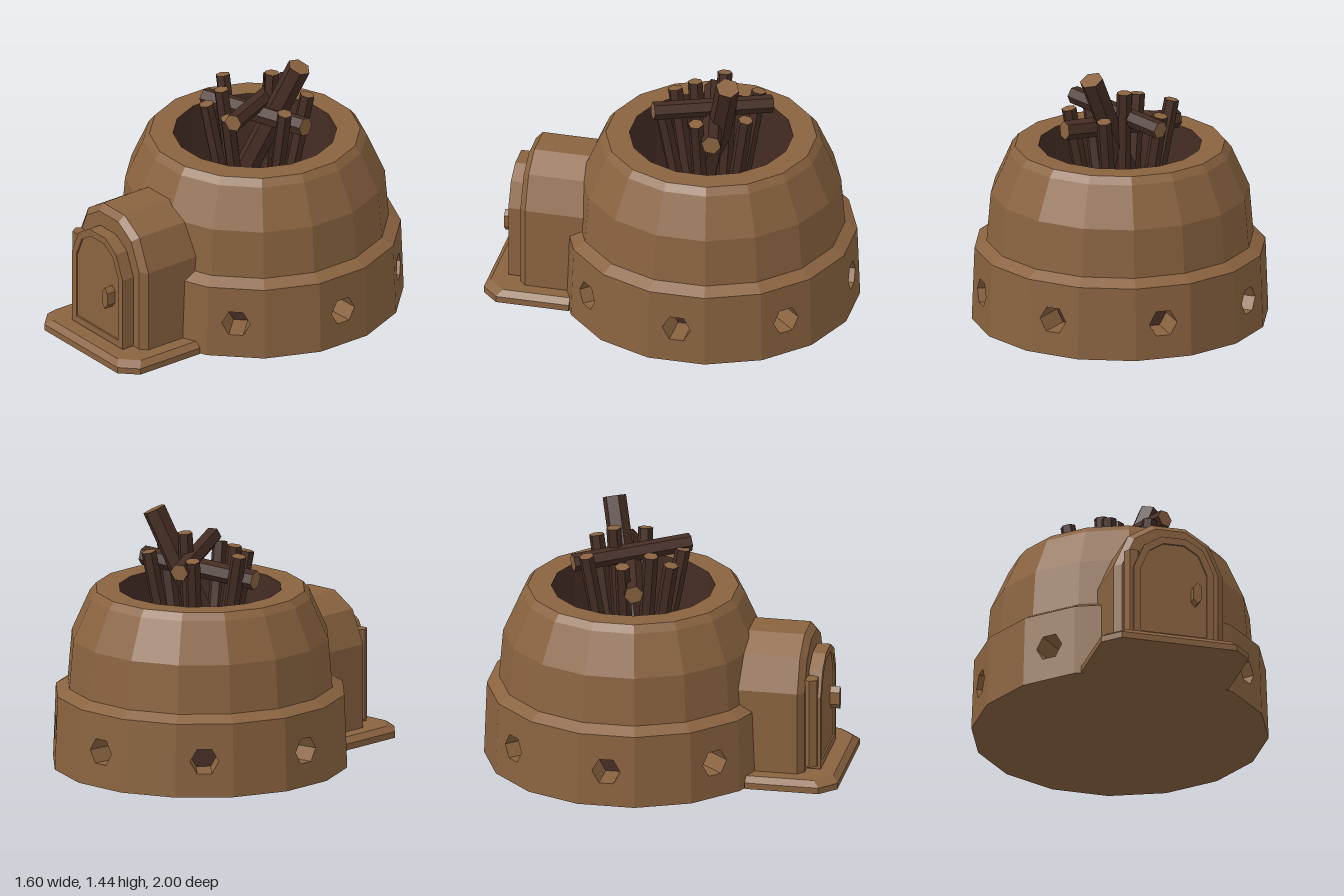
import * as THREE from 'three';

const SIDES = 16;
const CENTRE_Z = -0.2; // axis of the round oven body

export function createModel() {
  const clay = new THREE.MeshStandardMaterial({ color: 0x8a6340 });
  clay.name = 'clay';
  const charred = new THREE.MeshStandardMaterial({ color: 0x452d24 });
  charred.name = 'charred wood';

  const model = new THREE.Group();
  model.name = 'clayOven';

  const flat = (geometry) => {
    const g = geometry.index ? geometry.toNonIndexed() : geometry;
    g.computeVertexNormals();
    return g;
  };
  const add = (name, geometry, material, parent = model) => {
    const mesh = new THREE.Mesh(flat(geometry), material);
    mesh.name = name;
    parent.add(mesh);
    return mesh;
  };
  // Faceted turning; radii are measured to the middle of each flat side
  const turned = (profile) => new THREE.LatheGeometry(
    profile.map(([r, y]) => new THREE.Vector2(r / Math.cos(Math.PI / SIDES), y)),
    SIDES, Math.PI / SIDES);
  // Skin over convex outlines ([x, y] counter-clockwise) stacked along z, closed at both ends
  const loft = (rings) => {
    const n = rings[0].outline.length, pos = [], index = [];
    rings.forEach(({ outline, z }) => outline.forEach(([x, y]) => pos.push(x, y, z)));
    for (let r = 0; r < rings.length - 1; r++) {
      for (let i = 0; i < n; i++) {
        const a = r * n + i, b = r * n + (i + 1) % n;
        index.push(a, b, b + n, a, b + n, a + n);
      }
    }
    const end = (rings.length - 1) * n;
    for (let i = 1; i < n - 1; i++) index.push(0, i + 1, i, end, end + i, end + i + 1);
    const g = new THREE.BufferGeometry();
    g.setAttribute('position', new THREE.Float32BufferAttribute(pos, 3));
    g.setIndex(index);
    return g;
  };
  // Faceted round-topped doorway outline
  const arch = (w, bottom, top) => {
    const half = [[w, bottom], [w, top - 0.87 * w], [0.74 * w, top - 0.27 * w], [0.31 * w, top]];
    return [...half, ...half.map(([x, y]) => [-x, y]).reverse()];
  };
  const toPath = (points, Type = THREE.Shape) => new Type(points.map(([x, y]) => new THREE.Vector2(x, y)));

  // Round body
  const body = new THREE.Group();
  body.name = 'body';
  body.position.z = CENTRE_Z;
  model.add(body);
  add('underside', turned([[0, 0], [0.8, 0]]), clay, body);
  add('dome', turned([[0.785, 0.41], [0.72, 0.45], [0.698, 0.72], [0.6, 0.945], [0.567, 0.985], [0.44, 0.985]]), clay, body);
  add('fireChamber', turned([[0.44, 0.985], [0.44, 0.45], [0, 0.45]]), charred, body);

  // Lower band: one leaning panel per side, every second one pierced by an air vent
  const halfWidth = Math.tan(Math.PI / SIDES);
  const ventRadius = 0.079, ventDepth = 0.2;
  const hexagon = Array.from({ length: 6 }, (_, i) =>
    [ventRadius * Math.cos(i * Math.PI / 3), 0.2 + ventRadius * Math.sin(i * Math.PI / 3)]);
  for (let i = 0; i < SIDES; i++) {
    const side = new THREE.Group();
    side.name = 'bandSide';
    side.rotation.y = i * 2 * Math.PI / SIDES;
    body.add(side);
    const lean = new THREE.Group();
    lean.name = 'bandLean';
    lean.position.z = 0.8;
    lean.rotation.x = -Math.atan(0.015 / 0.41);
    side.add(lean);
    const b = 0.8 * halfWidth, t = 0.785 * halfWidth;
    const panel = toPath([[-b, 0], [b, 0], [t, 0.4103], [-t, 0.4103]]);
    const pierced = i % 2 === 0 && i !== 0;
    if (pierced) panel.holes.push(toPath(hexagon, THREE.Path));
    add('bandPanel', new THREE.ShapeGeometry(panel), clay, lean);
    if (!pierced) continue;
    // vent walls face inward, so the rings run from front to back
    const wall = new THREE.CylinderGeometry(ventRadius, ventRadius, ventDepth, 6, 1, true);
    wall.rotateY(Math.PI / 2).rotateX(Math.PI / 2).scale(1, 1, -1).translate(0, 0.2, -ventDepth / 2);
    add('ventWall', wall, clay, lean);
    add('ventBack', new THREE.ShapeGeometry(toPath(hexagon)).translate(0, 0, -ventDepth + 0.001), charred, lean);
  }

  // Arched porch with a bevelled front edge
  add('porch', loft([
    { outline: arch(0.31, 0, 0.805), z: 0.3 },
    { outline: arch(0.31, 0, 0.805), z: 0.772 },
    { outline: arch(0.272, 0, 0.77), z: 0.807 },
  ]), clay);

  // Doorstep with cut front corners and a bevelled top
  const step = (w, front) => [[-w, -0.5], [-w, -front + 0.09], [-w + 0.09, -front],
    [w - 0.09, -front], [w, -front + 0.09], [w, -0.5]];
  add('doorstep', loft([
    { outline: step(0.418, 1), z: 0 },
    { outline: step(0.418, 1), z: 0.035 },
    { outline: step(0.385, 0.97), z: 0.065 },
  ]).rotateX(-Math.PI / 2), clay);

  // Door: frame, recessed panel, hinge post and handle
  const door = new THREE.Group();
  door.name = 'door';
  model.add(door);
  const frame = toPath(arch(0.228, 0.07, 0.69));
  frame.holes.push(toPath(arch(0.188, 0.11, 0.65), THREE.Path));
  add('doorFrame', new THREE.ExtrudeGeometry(frame, { depth: 0.075, bevelEnabled: false }).translate(0, 0, 0.812), clay, door);
  add('doorPanel', loft([
    { outline: arch(0.188, 0.11, 0.65), z: 0.812 },
    { outline: arch(0.188, 0.11, 0.65), z: 0.877 },
  ]), clay, door);
  add('hingePost', new THREE.CylinderGeometry(0.046, 0.046, 0.51, 6)
    .rotateY(Math.PI / 2).translate(-0.222, 0.345, 0.83), clay, door);
  const grip = [[0.147, 0.32], [0.147, 0.39], [0.123, 0.42], [0.1, 0.39], [0.1, 0.32], [0.123, 0.29]];
  add('doorHandle', loft([{ outline: grip, z: 0.87 }, { outline: grip, z: 0.93 }]), clay, door);

  // Firewood: charred bark with bare clay-toned cut ends
  const firewood = new THREE.Group();
  firewood.name = 'firewood';
  model.add(firewood);
  const up = new THREE.Vector3(0, 1, 0);
  const log = (name, from, to, radius) => {
    const a = new THREE.Vector3(...from), b = new THREE.Vector3(...to);
    const along = b.clone().sub(a);
    const mesh = add(name, new THREE.CylinderGeometry(radius, radius, along.length(), 6), [charred, clay, clay], firewood);
    mesh.position.copy(a).add(b).multiplyScalar(0.5);
    mesh.quaternion.setFromUnitVectors(up, along.normalize());
  };
  // upright sticks, leaning outward: top x, y, z
  [[-0.295, 1.21, -0.205], [-0.14, 1.22, -0.075], [-0.13, 1.17, 0.035], [0.095, 1.18, 0.06],
    [0.288, 1.21, -0.185], [0.165, 1.2, -0.435], [-0.16, 1.2, -0.43], [0.01, 1.31, -0.31]]
    .forEach(([x, y, z]) => log('uprightStick',
      [x * 0.5, 0.45, CENTRE_Z + (z - CENTRE_Z) * 0.5], [x, y, z], 0.042));
  log('leaningLog', [-0.17, 0.48, -0.13], [0.21, 1.415, -0.345], 0.066);
  log('lowerCrossLog', [-0.35, 1.07, -0.13], [0.345, 1.12, -0.285], 0.054);
  log('upperCrossLog', [-0.135, 1.145, -0.51], [0.175, 1.19, 0.085], 0.05);

  return model;
}
